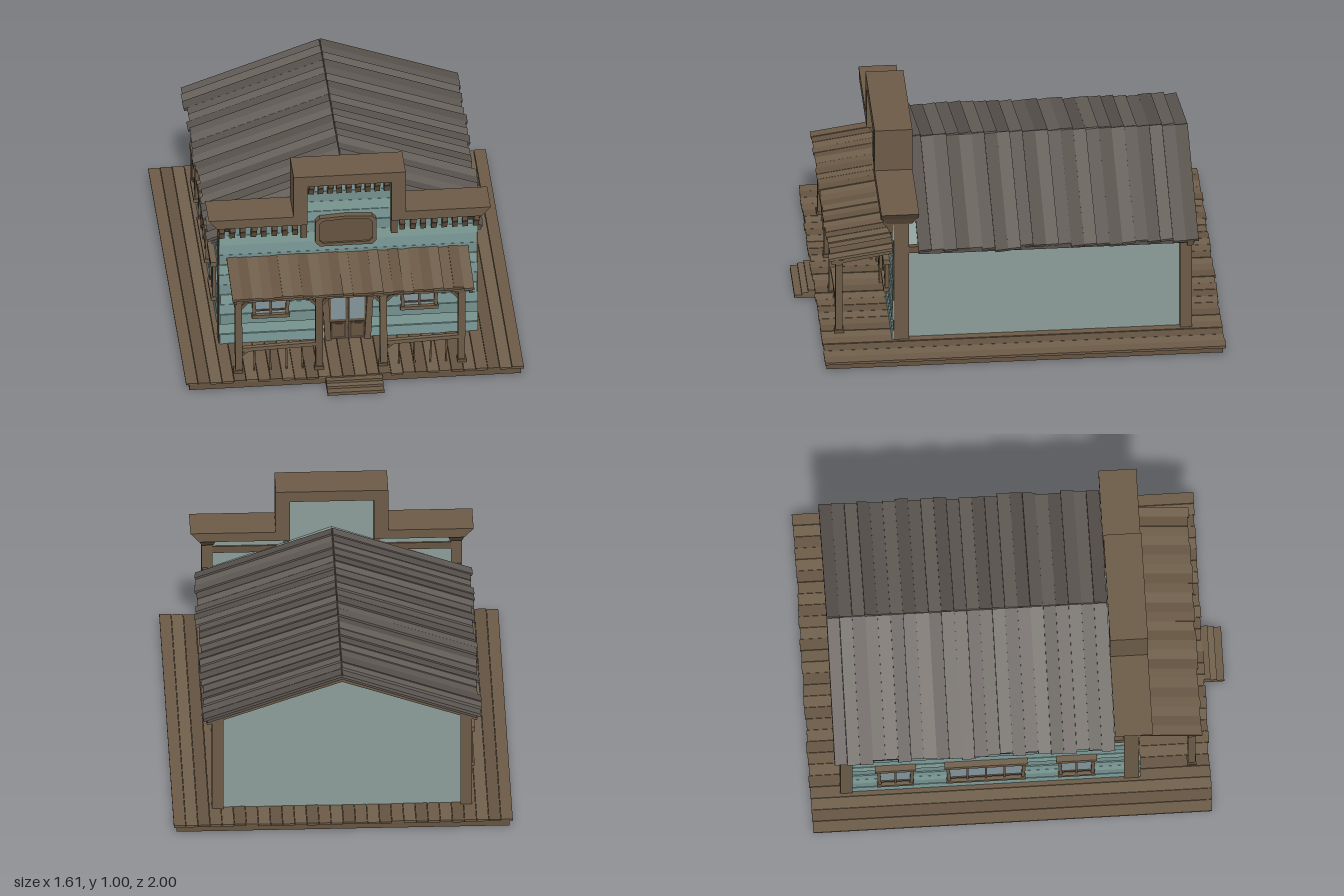
import * as THREE from 'three';

const mat = (color) => new THREE.MeshStandardMaterial({ color });
const wood = [mat(0x6b5a46), mat(0x645340), mat(0x70604c)];
const roofWood = [mat(0x5f5954), mat(0x57514c), mat(0x67615b)];
const siding = [mat(0x7c9b99), mat(0x74918f), mat(0x83a19c)];
const plaster = mat(0x8b9c99), glass = mat(0x82949a), dark = mat(0x4a3e33), under = mat(0x4b4137);

let seed = 7;
const rand = (a, b) => {
  seed = (seed * 16807) % 2147483647;
  return a + (b - a) * (seed / 2147483647);
};

export function createModel() {
  const model = new THREE.Group();
  model.name = 'frontierBuilding';

  const group = (name, parent = model) => {
    const g = new THREE.Group();
    g.name = name;
    parent.add(g);
    return g;
  };
  const add = (geo, material, name, parent) => {
    const m = new THREE.Mesh(geo, material);
    m.name = name;
    parent.add(m);
    return m;
  };
  // box given by its limits on each axis
  const box = (name, parent, material, x0, x1, y0, y1, z0, z1) => {
    const m = add(new THREE.BoxGeometry(x1 - x0, y1 - y0, z1 - z0), material, name, parent);
    m.position.set((x0 + x1) / 2, (y0 + y1) / 2, (z0 + z1) / 2);
    return m;
  };
  // straight board between two points
  const board = (name, parent, material, a, b, w, h) => {
    const p = new THREE.Vector3(...a), q = new THREE.Vector3(...b);
    const m = add(new THREE.BoxGeometry(w, h, p.distanceTo(q)), material, name, parent);
    m.position.copy(p).add(q).multiplyScalar(0.5);
    m.lookAt(q);
    return m;
  };
  // outline in x,y pushed along z
  const slab = (name, parent, material, pts, z0, z1) => {
    const shape = new THREE.Shape(pts.map(([x, y]) => new THREE.Vector2(x, y)));
    const m = add(new THREE.ExtrudeGeometry(shape, { depth: z1 - z0, bevelEnabled: false }), material, name, parent);
    m.position.z = z0;
    return m;
  };

  // Deck: skirt frame, plank floor and steps
  const deck = group('deck');
  box('deckUnderside', deck, under, -0.77, 0.77, 0.028, 0.04, -0.97, 0.89);
  for (const s of [-1, 1]) box('deckSideSkirt', deck, wood[1], s * 0.78 - 0.01, s * 0.78 + 0.01, 0.008, 0.042, -0.985, 0.9);
  box('deckFrontSkirt', deck, wood[1], -0.79, 0.79, 0.008, 0.042, 0.88, 0.9);
  box('deckBackSkirt', deck, wood[1], -0.79, 0.79, 0.008, 0.042, -0.985, -0.965);
  const planks = 28, pw = 1.61 / planks;
  for (let i = 0; i < planks; i++) {
    const x = -0.805 + i * pw;
    box('deckPlank', deck, wood[i % 3], x, x + pw - 0.002, 0.038, rand(0.046, 0.051),
      rand(-1, -0.99), rand(0.9, 0.91));
  }
  box('lowerStep', deck, wood[0], -0.14, 0.13, 0, 0.016, 0.88, 1);
  box('middleStep', deck, wood[2], -0.14, 0.13, 0.016, 0.028, 0.88, 0.965);
  box('upperStep', deck, wood[0], -0.14, 0.13, 0.028, 0.041, 0.88, 0.935);

  // Main body with gables, corner posts and trim
  const body = group('body');
  slab('bodyWalls', body, plaster,
    [[-0.595, 0.045], [0.595, 0.045], [0.595, 0.55], [0, 0.77], [-0.595, 0.55]], -0.835, 0.51);
  for (const s of [-1, 1]) {
    box('backCornerPost', body, wood[0], s * 0.59 - 0.027, s * 0.59 + 0.027, 0.045, 0.55, -0.852, -0.795);
    box('eaveTrim', body, wood[1], s * 0.6 - 0.012, s * 0.6 + 0.012, 0.525, 0.56, -0.845, 0.5);
    board('gableTrim', body, wood[0], [0, 0.765, -0.842], [s * 0.645, 0.535, -0.842], 0.03, 0.034);
  }
  for (let i = 0; i < 9; i++) {
    const y = 0.047 + i * 0.054;
    box('sideSiding', body, siding[i % 3], -0.61 + rand(0, 0.005), -0.59, y, y + 0.051, -0.8, 0.5);
  }

  // Roof: uneven boards running down each slope
  const roof = group('roof');
  for (const s of [-1, 1]) {
    slab('roofSheathing', roof, roofWood[1],
      s > 0 ? [[0, 0.765], [0.64, 0.535], [0.64, 0.55], [0, 0.785]] : [[0, 0.765], [0, 0.785], [-0.64, 0.55], [-0.64, 0.535]],
      -0.865, 0.45);
    const n = 22, w = 1.33 / n;
    for (let i = 0; i < n; i++) {
      const z = -0.88 + (i + 0.5) * w, t = rand(0.985, 1.015), lift = rand(-0.004, 0.003);
      const m = board('roofBoard', roof, roofWood[(i * 2 + (s > 0 ? 1 : 0)) % 3],
        [0, 0.792 + lift, z], [s * 0.655 * t, 0.792 + lift - 0.235 * t, z], w * 1.03, 0.014);
      m.rotateZ(s * rand(0.03, 0.14));
    }
  }

  // Stepped false front
  const facade = group('falseFront');
  slab('facadeWall', facade, plaster,
    [[-0.6, 0.045], [0.6, 0.045], [0.6, 0.75], [0.24, 0.75], [0.24, 0.95], [-0.24, 0.95], [-0.24, 0.75], [-0.6, 0.75]], 0.505, 0.56);
  for (let i = 0; i < 16; i++) {
    const y = 0.047 + i * 0.0555, w = y > 0.7 ? 0.22 : 0.61;
    box('frontSiding', facade, siding[(i * 2) % 3], -w - rand(0, 0.008), w + rand(0, 0.008), y, y + 0.0535, 0.55, rand(0.569, 0.576));
  }
  for (const s of [-1, 1]) {
    box('facadeCornerPost', facade, wood[0], s * 0.592 - 0.026, s * 0.592 + 0.026, 0.045, 0.74, 0.495, 0.567);
    // capital that widens up into the cornice
    const cap = add(new THREE.CylinderGeometry(0.5 * Math.SQRT2, 0.36 * Math.SQRT2, 1, 4, 1).rotateY(Math.PI / 4), wood[1], 'postCapital', facade);
    cap.scale.set(0.08, 0.04, 0.17);
    cap.position.set(s * 0.59, 0.715, 0.54);
    const wing = [[0.2, 0.73], [0.63, 0.73], [0.672, 0.778], [0.2, 0.778]];
    slab('wingCornice', facade, wood[0], s > 0 ? wing : wing.map(([x, y]) => [-x, y]).reverse(), 0.45, 0.63);
    box('wingBackTrim', facade, wood[1], s > 0 ? 0.2 : -0.6, s > 0 ? 0.6 : -0.2, 0.64, 0.675, 0.497, 0.51);
    box('towerSide', facade, wood[0], s > 0 ? 0.2 : -0.267, s > 0 ? 0.267 : -0.2, 0.73, 1, 0.45, 0.63);
    box('towerSideTrim', facade, wood[1], s > 0 ? 0.2 : -0.23, s > 0 ? 0.23 : -0.2, 0.64, 0.74, 0.5, 0.6);
  }
  box('towerTop', facade, wood[0], -0.267, 0.267, 0.945, 1, 0.45, 0.63);

  // Tapered brackets beneath the cornices
  const bracketShape = new THREE.Shape([[0, 0], [0.018, 0], [0.03, 0.03], [0.048, 0.05], [0.048, 0.085], [0, 0.085]]
    .map(([x, y]) => new THREE.Vector2(x, y)));
  const bracketGeo = new THREE.ExtrudeGeometry(bracketShape, { depth: 0.026, bevelEnabled: false })
    .rotateY(-Math.PI / 2).translate(0.013, 0, 0);
  const bracket = (x, y) => {
    const m = add(bracketGeo, wood[1], 'corniceBracket', facade);
    m.position.set(x, y, 0.57);
    m.rotation.z = rand(-0.06, 0.06);
  };
  for (let i = 0; i < 8; i++) for (const s of [-1, 1]) bracket(s * (0.255 + i * 0.05), 0.65);
  for (let i = 0; i < 9; i++) bracket(-0.18 + i * 0.045, 0.873);

  // Blank sign board with a raised rim
  const sign = group('signBoard');
  const plate = (w, h, c) => [[-w + c, -h], [w - c, -h], [w, -h + c], [w, h - c], [w - c, h], [0, h + 0.008], [-w + c, h], [-w, h - c], [-w, -h + c]];
  slab('signPlate', sign, wood[1], plate(0.14, 0.074, 0.02), 0.57, 0.595);
  const rim = new THREE.Shape(plate(0.145, 0.078, 0.02).map((p) => new THREE.Vector2(...p)));
  rim.holes.push(new THREE.Path(plate(0.127, 0.062, 0.017).map((p) => new THREE.Vector2(...p))));
  add(new THREE.ExtrudeGeometry(rim, { depth: 0.03, bevelEnabled: false }), wood[0], 'signRim', sign).position.z = 0.575;
  sign.position.set(-0.015, 0.667, 0);

  // Windows, built facing +z around the middle of the pane
  const makeWindow = (name, w, h, panes) => {
    const g = group(name), a = w / 2, b = h / 2;
    box('pane', g, glass, -a, a, -b, b, -0.01, 0.004);
    for (const s of [-1, 1]) board('windowJamb', g, wood[0], [s * a, -b, 0.006], [s * (a + 0.006), b, 0.006], 0.018, 0.016);
    box('windowHead', g, wood[2], -a - 0.022, a + 0.022, b, b + 0.026, -0.01, 0.024);
    box('windowSill', g, wood[2], -a - 0.013, a + 0.013, -b - 0.014, -b + 0.004, -0.01, 0.022);
    box('windowCrossbar', g, wood[1], -a, a, -b + 0.02, -b + 0.027, 0, 0.01);
    for (let i = 1; i < panes; i++) {
      const x = -a + (w * i) / panes;
      box('windowMullion', g, wood[1], x - 0.005, x + 0.005, -b, b, 0, 0.012);
    }
    return g;
  };
  makeWindow('frontRightWindow', 0.155, 0.14, 2).position.set(-0.372, 0.28, 0.578);
  makeWindow('frontLeftWindow', 0.155, 0.14, 2).position.set(0.335, 0.285, 0.578);
  for (const [z, w, n] of [[-0.59, 0.15, 2], [-0.16, 0.35, 4], [0.27, 0.15, 2]]) {
    const g = makeWindow('sideWindow', w, 0.18, n);
    g.position.set(-0.613, 0.26, z);
    g.rotation.y = -Math.PI / 2;
  }

  // Double door with glazed tops, panels and a flared frame
  const door = group('door');
  for (const s of [-1, 1]) {
    box('doorLeaf', door, wood[1], s > 0 ? 0.002 : -0.09, s > 0 ? 0.09 : -0.002, 0.05, 0.31, 0.56, 0.582);
    box('doorGlass', door, glass, s * 0.045 - 0.034, s * 0.045 + 0.034, 0.16, 0.3, 0.575, 0.585);
    box('doorPanel', door, dark, s * 0.045 - 0.036, s * 0.045 + 0.036, 0.058, 0.145, 0.575, 0.586);
    box('doorPanelInset', door, wood[1], s * 0.045 - 0.027, s * 0.045 + 0.027, 0.067, 0.136, 0.575, 0.589);
    board('doorJamb', door, wood[0], [s * 0.094, 0.05, 0.582], [s * 0.108, 0.312, 0.582], 0.026, 0.03);
  }
  box('doorHead', door, wood[2], -0.13, 0.13, 0.308, 0.328, 0.56, 0.605);
  door.position.x = -0.005;

  // Porch: posts, braces, beams, railings and sloping awning
  const porch = group('porch');
  const postX = [-0.55, -0.165, 0.14, 0.515], zp = 0.82;
  postX.forEach((x, i) => {
    board('porchPost', porch, wood[i % 3], [x + rand(-0.005, 0.005), 0.045, zp], [x, 0.46, zp], 0.034, 0.034);
    box('postFoot', porch, wood[1], x - 0.022, x + 0.022, 0.045, 0.065, zp - 0.022, zp + 0.022);
    for (const s of [-1, 1]) {
      if ((i === 0 && s < 0) || (i === 3 && s > 0)) continue;
      board('postBrace', porch, wood[1], [x, 0.39, zp], [x + s * 0.06, 0.455, zp], 0.014, 0.014);
    }
    board('awningRafter', porch, wood[1], [x, 0.497, 0.56], [x, 0.452, 0.84], 0.024, 0.024);
  });
  box('porchBeam', porch, wood[0], -0.575, 0.565, 0.445, 0.472, 0.805, 0.84);
  for (const s of [-1, 1]) board('awningEndBoard', porch, wood[0], [s * 0.56 - 0.005, 0.512, 0.57], [s * 0.56 - 0.005, 0.462, 0.86], 0.014, 0.032);
  for (const [a, b] of [[postX[0], postX[1]], [postX[2], postX[3]]]) {
    board('railing', porch, wood[2], [a, 0.172, zp], [b, 0.186, zp], 0.022, 0.02);
    for (let i = 1; i < 5; i++) {
      const x = a + ((b - a) * i) / 5;
      board('baluster', porch, wood[1], [x, 0.045, zp], [x + rand(-0.006, 0.006), 0.18, zp], 0.008, 0.008);
    }
    board('railingBrace', porch, wood[1], [a, 0.125, zp], [a + 0.055, 0.172, zp], 0.012, 0.012);
  }
  const n = 24, aw = 1.15 / n;
  for (let i = 0; i < n; i++) {
    const x = -0.58 + (i + 0.5) * aw, lift = rand(-0.003, 0.003);
    board('awningBoard', porch, wood[i % 3], [x, 0.524 + lift, 0.565], [x, 0.477 + lift, rand(0.862, 0.872)], aw * 1.02, 0.014)
      .rotateZ(rand(-0.06, 0.06));
  }
  return model;
}
